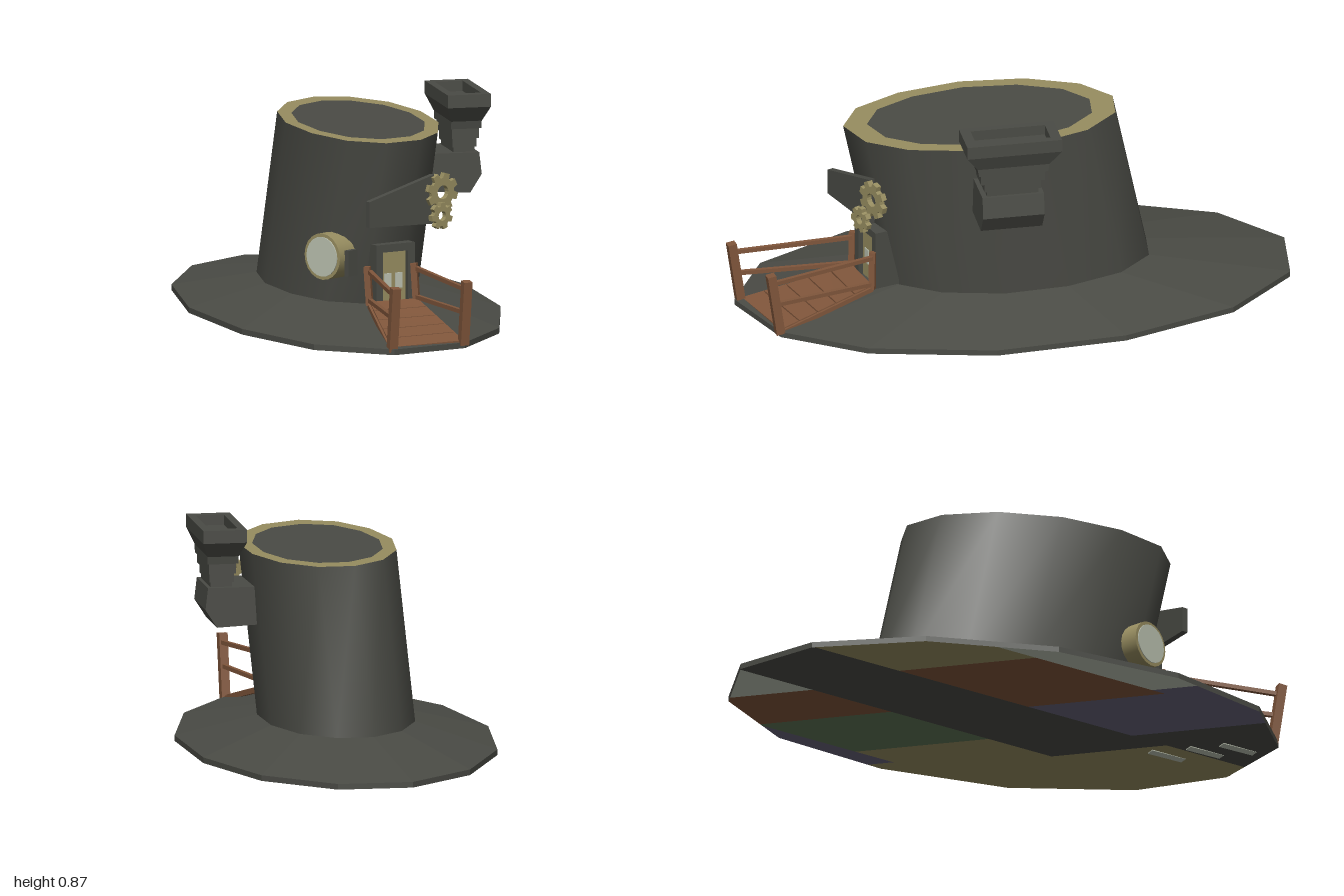
import * as THREE from 'three';

const mat = (name, color) => Object.assign(new THREE.MeshStandardMaterial({ color, side: THREE.DoubleSide }), { name });
const dark = mat('charcoal felt', 0x4a4b45);
const gold = mat('dull gold', 0x978d60);
const wood = mat('brown wood', 0x80563b);
const light = mat('pale glass', 0xbcc2b1);
const purple = mat('muted purple', 0x67627a);
const green = mat('muted green', 0x5f7455);

const V = (x, y, z) => new THREE.Vector3(x, y, z);

// Egg-shaped hat outline (x, z), anticlockwise from above
const outline = [
  [-0.35, -1], [-0.615, -0.89], [-0.74, -0.58], [-0.7, -0.14], [-0.5, 0.335], [-0.18, 0.73], [0.17, 0.965],
  [0.49, 0.965], [0.7, 0.71], [0.735, 0.345], [0.61, -0.13], [0.345, -0.565], [0, -0.885],
];
// The whole hat tilts a little
const tilt = (x, z) => 0.018 - 0.02 * x - 0.004 * z;
const hatRing = (s, h, dx = 0, dz = 0) => outline.map(([px, pz]) => {
  const x = px * s + dx, z = pz * s + dz;
  return V(x, tilt(x, z) + h, z);
});
const rectRing = (y, hx, hz) => [[1, 1], [1, -1], [-1, -1], [-1, 1]].map(([a, b]) => V(a * hx, y, b * hz));

// Skin between successive rings; cap closes the last ring
function loft(rings, { smooth = false, cap = false } = {}) {
  const n = rings[0].length, index = [];
  for (let r = 0; r < rings.length - 1; r++) {
    for (let i = 0; i < n; i++) {
      const a = r * n + i, b = r * n + (i + 1) % n;
      index.push(a, b, b + n, a, b + n, a + n);
    }
  }
  if (cap) {
    const o = (rings.length - 1) * n;
    for (let i = 1; i < n - 1; i++) index.push(o, o + i, o + i + 1);
  }
  let g = new THREE.BufferGeometry().setFromPoints(rings.flat());
  g.setIndex(index);
  if (!smooth) g = g.toNonIndexed();
  g.computeVertexNormals();
  return g;
}

// Keep the part of a polygon where f >= 0
function clip(poly, f) {
  const out = [];
  poly.forEach((p, i) => {
    const q = poly[(i + 1) % poly.length], a = f(p), b = f(q);
    if (a >= 0) out.push(p);
    if (a * b < 0) out.push(p.clone().lerp(q, a / (a - b)));
  });
  return out;
}

function add(parent, name, geometry, material, pos = [0, 0, 0], yaw = 0) {
  const m = new THREE.Mesh(geometry, material);
  m.name = name;
  m.position.set(...pos);
  m.rotation.y = yaw;
  parent.add(m);
  return m;
}

// Square bar between two points
function bar(parent, name, a, b, w) {
  const m = add(parent, name, new THREE.BoxGeometry(w, w, a.distanceTo(b)), wood);
  m.position.copy(a).lerp(b, 0.5);
  m.lookAt(b);
}

function extrude(points, depth) {
  const s = new THREE.Shape(points.map(([x, y]) => new THREE.Vector2(x, y)));
  return new THREE.ExtrudeGeometry(s, { depth, bevelEnabled: false });
}

function gear(r, teeth) {
  const pts = [];
  for (let i = 0; i < teeth; i++) {
    [[0, 0.74], [0.28, 0.74], [0.4, 1], [0.85, 1]].forEach(([t, k]) => {
      const a = (i + t) / teeth * Math.PI * 2;
      pts.push(new THREE.Vector2(Math.cos(a) * r * k, Math.sin(a) * r * k));
    });
  }
  const s = new THREE.Shape(pts);
  s.holes.push(new THREE.Path().absarc(0, 0, r * 0.36, 0, Math.PI * 2, true));
  return new THREE.ExtrudeGeometry(s, { depth: 0.022, bevelEnabled: false, curveSegments: 8 });
}

export function createModel() {
  const root = new THREE.Group();
  root.name = 'hatHouse';

  // Hat body
  add(root, 'brim', loft([hatRing(1, 0), hatRing(1, 0.022), hatRing(0.49, 0.105)]), dark);
  add(root, 'crown', loft([hatRing(0.49, 0.1), hatRing(0.49, 0.75, 0.11, 0.1)], { smooth: true }), dark);
  add(root, 'crownRim', loft([hatRing(0.49, 0.75, 0.11, 0.1), hatRing(0.405, 0.75, 0.11, 0.1)]), gold);
  add(root, 'crownTop', loft([hatRing(0.405, 0.75, 0.11, 0.1)], { cap: true }), dark);

  // Patchwork underside: material, diagonal range, x range
  const patches = [
    [purple, 0.57, 2, -2, 0.3], [gold, 0.57, 2, 0.3, 2],
    [gold, 0.2, 0.57, 0.18, 2], [green, 0.2, 0.57, -0.13, 0.18], [wood, 0.2, 0.57, -0.38, -0.13], [light, 0.2, 0.57, -2, -0.38],
    [gold, -0.12, 0.2, 0.38, 2], [dark, -0.12, 0.2, -2, 0.38],
    [dark, -0.5, -0.12, 0.27, 2], [purple, -0.5, -0.12, -0.06, 0.27], [wood, -0.5, -0.12, -0.47, -0.06], [gold, -0.5, -0.12, -2, -0.47],
    [purple, -2, -0.5, -0.1, 2], [light, -2, -0.5, -2, -0.1],
  ];
  const under = new THREE.Group();
  under.name = 'patchworkUnderside';
  root.add(under);
  for (const [m, v0, v1, x0, x1] of patches) {
    const v = p => (p.x - p.z) * Math.SQRT1_2;
    let poly = hatRing(1, 0);
    for (const f of [p => v(p) - v0, p => v1 - v(p), p => p.x - x0, p => x1 - p.x]) poly = clip(poly, f);
    if (poly.length > 2) add(under, 'patch', loft([poly.reverse()], { cap: true }), m);
  }
  [0.53, 0.68, 0.81].forEach(z => add(under, 'stitch', new THREE.BoxGeometry(0.15, 0.004, 0.035), light, [0.47, tilt(0.47, z), z], -Math.PI / 4));

  // Chimney on the side: elbow, stepped stack, hollow rim
  const chimney = new THREE.Group();
  chimney.name = 'chimney';
  chimney.position.set(0.44, 0, -0.13);
  chimney.rotation.y = 0.51;
  root.add(chimney);
  add(chimney, 'elbow', extrude([[-0.2, 0.49], [0.02, 0.48], [0.065, 0.55], [0.055, 0.635], [-0.2, 0.635]], 0.24), dark, [0, 0, -0.12]);
  const stack = [
    [0.62, 0.042, 0.1], [0.655, 0.042, 0.1], [0.655, 0.047, 0.11], [0.69, 0.047, 0.11], [0.69, 0.053, 0.125],
    [0.73, 0.053, 0.125], [0.73, 0.06, 0.135], [0.76, 0.06, 0.14], [0.82, 0.085, 0.185], [0.87, 0.085, 0.185],
    [0.87, 0.055, 0.145], [0.83, 0.055, 0.145],
  ];
  add(chimney, 'stack', loft(stack.map(s => rectRing(...s)), { cap: true }), dark);

  // Ramp of flaring planks with railings
  const ramp = new THREE.Group();
  ramp.name = 'ramp';
  root.add(ramp);
  const L0 = V(0.28, 0.125, 0.56), L1 = V(0.475, 0.016, 0.945), R0 = V(0.43, 0.125, 0.43), R1 = V(0.695, 0.016, 0.715);
  const N = 5;
  for (let i = 0; i < N; i++) {
    const [t0, t1] = [i / N, (i + 0.94) / N];
    const plank = [L0.clone().lerp(L1, t0), L0.clone().lerp(L1, t1), R0.clone().lerp(R1, t1), R0.clone().lerp(R1, t0)];
    const top = plank.map(p => p.clone().add(V(0, 0.014, 0)));
    add(ramp, 'plank', loft([plank, top], { cap: true }), wood);
  }
  for (const [a, b] of [[L0, L1], [R0, R1]]) {
    bar(ramp, 'stringer', a, b, 0.018);
    bar(ramp, 'innerPost', a, a.clone().add(V(-0.01, 0.15, 0)), 0.024);
    bar(ramp, 'outerPost', b, b.clone().add(V(0.022, 0.25, 0.03)), 0.034);
    for (const [h0, h1] of [[0.13, 0.215], [0.02, 0.125]]) {
      bar(ramp, 'rail', a.clone().add(V(0, h0, 0)), b.clone().add(V(0.02, h1, 0.02)), 0.016);
    }
  }

  // Door with frame and panes, facing the ramp
  const door = new THREE.Group();
  door.name = 'door';
  door.position.set(0.325, 0.12, 0.445);
  door.rotation.y = 0.8;
  root.add(door);
  for (const s of [-1, 1]) add(door, 'doorJamb', new THREE.BoxGeometry(0.03, 0.23, 0.1), dark, [s * 0.07, 0.115, 0]);
  add(door, 'doorLintel', new THREE.BoxGeometry(0.17, 0.03, 0.1), dark, [0, 0.22, 0]);
  add(door, 'doorPanel', new THREE.BoxGeometry(0.11, 0.21, 0.06), gold, [0, 0.105, 0]);
  for (const s of [-1, 1]) add(door, 'doorPane', new THREE.BoxGeometry(0.03, 0.06, 0.006), light, [s * 0.024, 0.09, 0.031]);

  // Round window
  const win = new THREE.Group();
  win.name = 'roundWindow';
  win.position.set(0.11, 0.305, 0.515);
  win.rotation.y = -0.45;
  root.add(win);
  const disc = (r, d) => new THREE.CylinderGeometry(r, r, d, 20).rotateX(Math.PI / 2);
  add(win, 'windowFrame', disc(0.09, 0.09), gold);
  add(win, 'windowGlass', disc(0.077, 0.006), light, [0, 0, 0.046]);
  add(win, 'windowLatch', new THREE.BoxGeometry(0.02, 0.1, 0.05), dark, [0.098, -0.02, -0.01]);

  // Wedge-shaped sign board over the door, with gears at its end
  add(root, 'signBoard', extrude([[0, 0.44], [0.3, 0.43], [0.3, 0.62], [0, 0.54]], 0.025), dark, [0.285, 0, 0.635], 0.87);
  add(root, 'largeGear', gear(0.075, 8), gold, [0.51, 0.55, 0.39], 0.96);
  add(root, 'smallGear', gear(0.052, 7), gold, [0.52, 0.465, 0.435], 0.96);

  return root;
}
